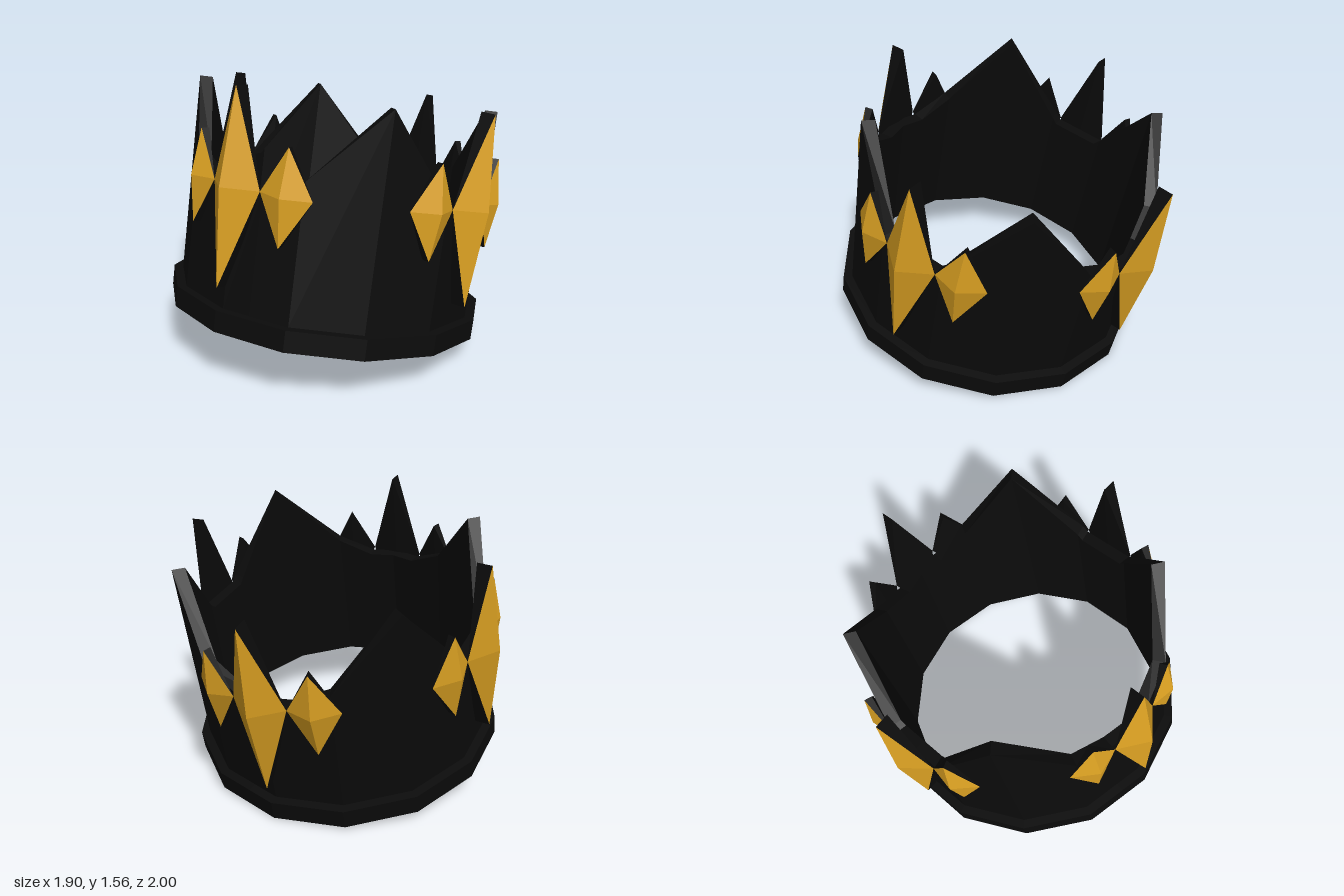
import * as THREE from 'three';

const SIDES = 14;
const STEP = (Math.PI * 2) / SIDES;

// Radius factor of a 14-sided polygon (corner at the front) at an angle
function polygonFactor(a) {
  const t = ((a % STEP) + STEP) % STEP;
  return Math.cos(STEP / 2) / Math.cos(t - STEP / 2);
}

function faceted(points) {
  const g = new THREE.BufferGeometry();
  g.setAttribute('position', new THREE.Float32BufferAttribute(points.flat(), 3));
  g.computeVertexNormals();
  return g;
}

// Rim outline of one quarter: angle in degrees from the front, height
const RIM = [[0, 0.74], [10.6, 0.74], [180 / 7, 0.83], [360 / 7, 1.216], [540 / 7, 0.77], [79.4, 0.74], [90, 0.74]];

function bandGeometry() {
  const half = [...RIM, ...RIM.slice(0, -1).reverse().map(([d, h]) => [180 - d, h])];
  const loop = [...half, ...half.slice(1, -1).reverse().map(([d, h]) => [360 - d, h])];
  // Cross-section: inner foot, stepped base, wall, rim
  const rings = loop.map(([deg, h]) => {
    const a = THREE.MathUtils.degToRad(deg);
    const f = polygonFactor(a);
    return [[0.77, 0], [0.89, 0], [0.89, 0.112], [0.84, 0.112], [0.84, h], [0.77, h]]
      .map(([r, y]) => [Math.sin(a) * r * f, y, Math.cos(a) * r * f]);
  });
  const tris = [];
  rings.forEach((A, i) => {
    const B = rings[(i + 1) % rings.length];
    A.forEach((p, j) => {
      const k = (j + 1) % A.length;
      tris.push(p, B[j], B[k], p, B[k], A[k]);
    });
  });
  return faceted(tris);
}

// Faceted diamond: front corners top, bottom, left, right, middle; back tips
function addGem(parent, name, { T, B, L, R, M, Tb, Bb }, gold, black) {
  const front = new THREE.Mesh(faceted([T, L, M, M, L, B, B, R, M, M, R, T].flat().length ? [T, L, M, M, L, B, B, R, M, M, R, T] : []), gold);
  front.name = name;
  const back = new THREE.Mesh(faceted([
    T, Tb, L, T, R, Tb, B, L, Bb, B, Bb, R, Tb, Bb, L, Tb, R, Bb,
  ]), black);
  back.name = name + 'Backing';
  parent.add(front, back);
}

export function createModel() {
  const black = new THREE.MeshStandardMaterial({ color: 0x0b0b0b });
  black.name = 'black';
  const gold = new THREE.MeshStandardMaterial({ color: 0xdaa022 });
  gold.name = 'gold';

  const crown = new THREE.Group();
  crown.name = 'crown';

  const band = new THREE.Mesh(bandGeometry(), black);
  band.name = 'band';
  crown.add(band);

  const tall = {
    T: [0, 1.232, 0.902], B: [0, 0.228, 0.9], M: [0, 0.742, 0.95],
    L: [-0.155, 0.745, 0.83], R: [0.155, 0.745, 0.83],
    Tb: [0, 1.236, 0.823], Bb: [0, 0.228, 0.815],
  };
  const small = {
    T: [0.295, 0.983, 0.818], B: [0.295, 0.494, 0.817], M: [0.3, 0.74, 0.855],
    L: [0.155, 0.745, 0.83], R: [0.415, 0.74, 0.745],
    Tb: [0.28, 0.983, 0.778], Bb: [0.28, 0.494, 0.768],
  };
  const flip = ([x, y, z]) => [-x, y, z];
  const smallMirrored = Object.fromEntries(Object.entries(small).map(([k, p]) => [k, flip(p)]));
  [smallMirrored.L, smallMirrored.R] = [smallMirrored.R, smallMirrored.L];

  // A tall diamond flanked by two small ones on each of the four sides
  ['front', 'left', 'back', 'right'].forEach((side, i) => {
    const cluster = new THREE.Group();
    cluster.name = side + 'Diamonds';
    addGem(cluster, 'tallDiamond', tall, gold, black);
    addGem(cluster, 'smallDiamondLeft', small, gold, black);
    addGem(cluster, 'smallDiamondRight', smallMirrored, gold, black);
    cluster.rotation.y = (i * Math.PI) / 2;
    crown.add(cluster);
  });

  // The whole crown leans back
  crown.rotation.x = -0.198;
  crown.position.set(0, 0.178, 0.125);

  const model = new THREE.Group();
  model.name = 'model';
  model.add(crown);
  return model;
}
